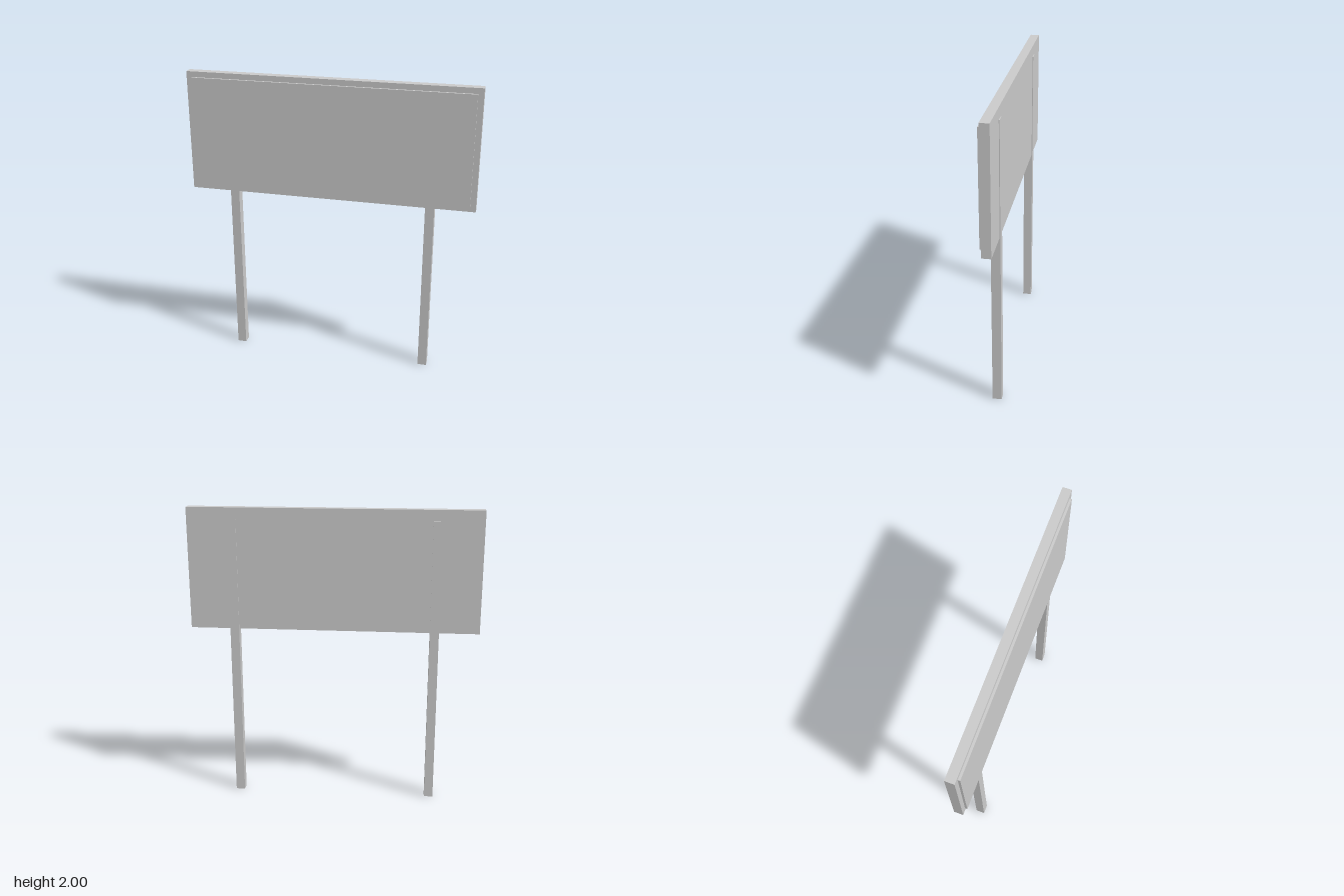
import * as THREE from 'three';

const material = new THREE.MeshStandardMaterial({ color: 0xcccccc });

// Box given by its minimum and maximum corners
function box(name, [x0, y0, z0], [x1, y1, z1]) {
  const mesh = new THREE.Mesh(new THREE.BoxGeometry(x1 - x0, y1 - y0, z1 - z0), material);
  mesh.position.set((x0 + x1) / 2, (y0 + y1) / 2, (z0 + z1) / 2);
  mesh.name = name;
  return mesh;
}

export function createModel() {
  const group = new THREE.Group();
  group.name = 'billboard';

  // Backing board and the raised sign face on its front
  group.add(box('board', [-0.963, 1.192, -0.035], [0.963, 2, 0.025]));
  group.add(box('signPanel', [-0.926, 1.229, 0.02], [0.926, 1.963, 0.04]));

  // Two posts, sunk into the board and standing slightly proud of its back
  for (const [name, x] of [['leftPost', 0.667], ['rightPost', -0.667]]) {
    group.add(box(name, [x - 0.03, 0, -0.04], [x + 0.03, 1.926, 0.02]));
  }
  return group;
}
